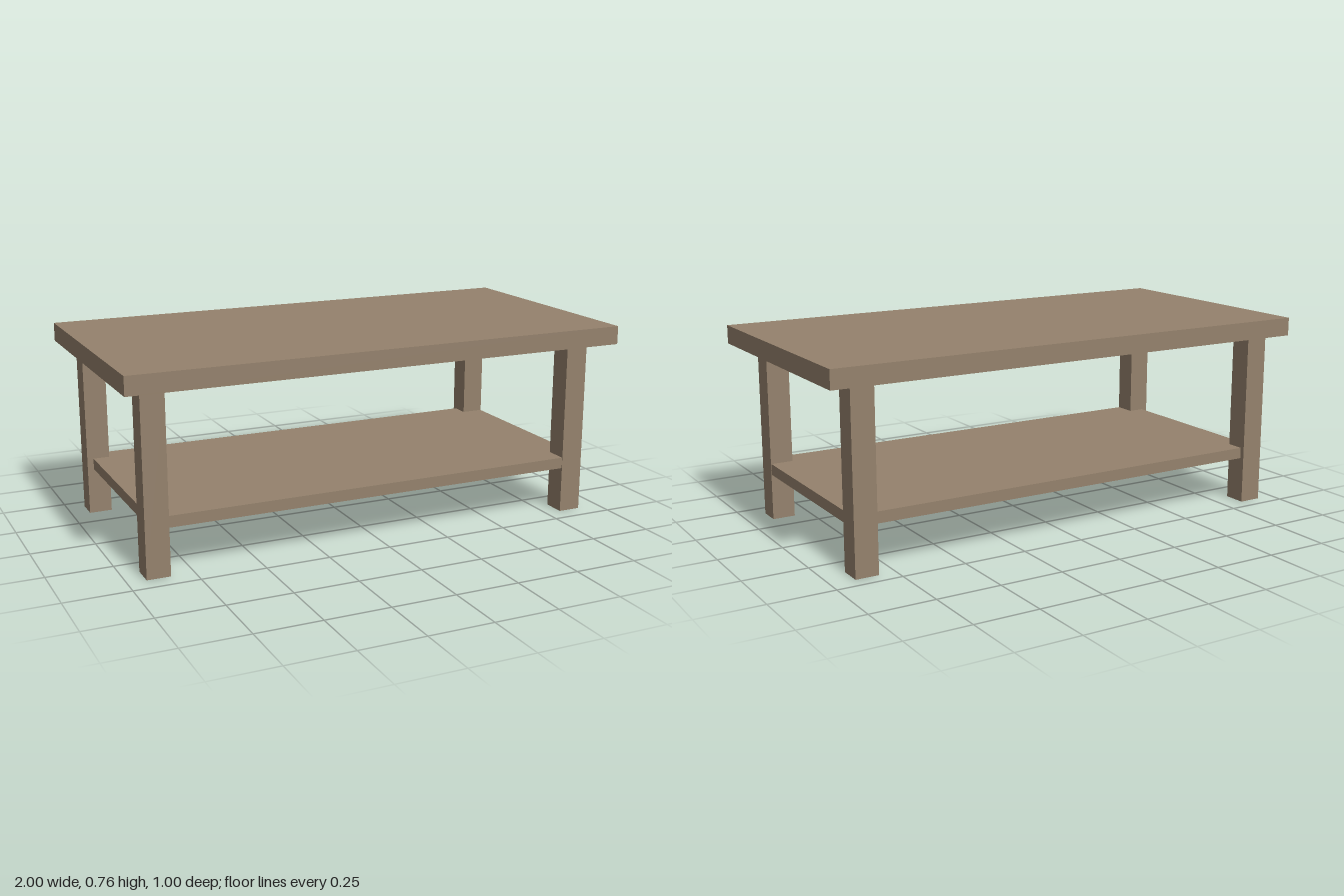
import * as THREE from 'three';

export function createModel() {
  const group = new THREE.Group();
  const wood = new THREE.MeshStandardMaterial({ color: 0x95826d });
  wood.name = 'wood';

  // Box given by its centre in x and z, its underside and its size
  function addBox(name, [w, h, d], x, bottom, z) {
    const mesh = new THREE.Mesh(new THREE.BoxGeometry(w, h, d), wood);
    mesh.name = name;
    mesh.position.set(x, bottom + h / 2, z);
    group.add(mesh);
  }

  const legHeight = 0.693;
  addBox('tableTop', [2, 0.072, 1], 0, legHeight, 0);

  // Lower shelf, its corners housed in the legs
  addBox('shelf', [1.808, 0.044, 0.854], 0, 0.183, 0);

  // Legs, set slightly towards the back right
  const legWidth = 0.09;
  for (const [side, x] of [['Left', 0.861], ['Right', -0.884]]) {
    for (const [end, z] of [['front', 0.384], ['back', -0.4]]) {
      addBox(`${end}${side}Leg`, [legWidth, legHeight, legWidth], x, 0, z);
    }
  }

  return group;
}
